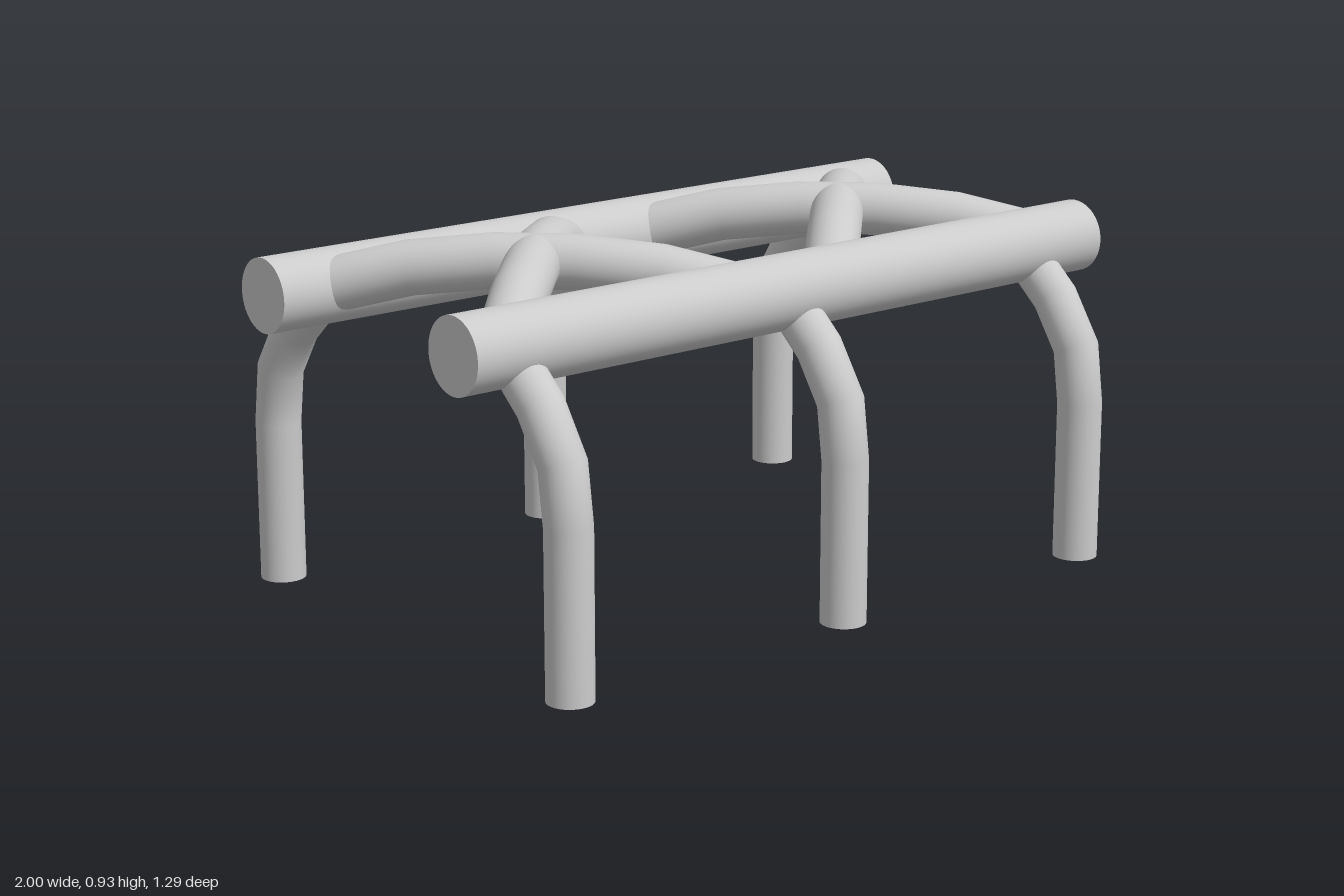
import * as THREE from 'three';

const SIDES = 32;
const material = new THREE.MeshStandardMaterial({ color: 0xcccccc });

// Round bar along a bent path [distance, height], lying in the upright plane through `heading`,
// with mitred bends and flat capped ends.
function bentBar(path, heading, radius) {
  const up = new THREE.Vector3(0, 1, 0);
  const across = heading.clone().cross(up).normalize();
  const points = path.map(([d, y]) => heading.clone().multiplyScalar(d).setY(y));
  const last = points.length - 1;
  const direction = i => points[i + 1].clone().sub(points[i]).normalize();
  const positions = [], index = [];

  const rings = points.map((p, i) => {
    const before = direction(Math.max(i - 1, 0));
    const after = direction(Math.min(i, last - 1));
    const tangent = before.clone().add(after).normalize();
    const outward = across.clone().cross(tangent);
    const stretch = 1 / tangent.dot(after);
    return Array.from({ length: SIDES }, (_, j) => {
      const a = (j / SIDES) * Math.PI * 2;
      return p.clone()
        .addScaledVector(outward, radius * stretch * Math.cos(a))
        .addScaledVector(across, radius * Math.sin(a));
    });
  });
  rings.flat().forEach(v => positions.push(v.x, v.y, v.z));
  for (let i = 0; i < last; i++) {
    for (let j = 0; j < SIDES; j++) {
      const k = (j + 1) % SIDES, a = i * SIDES, b = a + SIDES;
      index.push(a + j, a + k, b + k, a + j, b + k, b + j);
    }
  }

  // End caps use their own vertices so the rims stay sharp
  for (const end of [0, last]) {
    const centre = positions.length / 3;
    [points[end], ...rings[end]].forEach(v => positions.push(v.x, v.y, v.z));
    for (let j = 0; j < SIDES; j++) {
      const a = centre + 1 + j, b = centre + 1 + ((j + 1) % SIDES);
      if (end === 0) index.push(centre, b, a);
      else index.push(centre, a, b);
    }
  }

  const geometry = new THREE.BufferGeometry();
  geometry.setAttribute('position', new THREE.Float32BufferAttribute(positions, 3));
  geometry.setIndex(index);
  geometry.computeVertexNormals();
  return geometry;
}

export function createModel() {
  const model = new THREE.Group();
  const add = (name, geometry, x, y, z) => {
    const mesh = new THREE.Mesh(geometry, material);
    mesh.name = name;
    mesh.position.set(x, y, z);
    model.add(mesh);
  };

  // Two long rails
  const rail = new THREE.CylinderGeometry(0.093, 0.093, 2, 48).rotateZ(Math.PI / 2);
  add('frontRail', rail, 0, 0.788, 0.385);
  add('backRail', rail, 0, 0.788, -0.385);

  // Three pairs of legs, straight below and curving inwards to the rails
  const legPath = [[0.588, 0], [0.588, 0.408], [0.569, 0.55], [0.492, 0.667], [0.39, 0.757]];
  for (const side of [1, -1]) {
    const leg = bentBar(legPath, new THREE.Vector3(0, 0, side), 0.057);
    for (const x of [-0.84, 0, 0.82]) add(side > 0 ? 'frontLeg' : 'backLeg', leg, x, 0, 0);
  }

  // Two crossed pairs of arched braces between the rails
  const halfArch = [[0.07, 0.863], [0.215, 0.842], [0.325, 0.805], [0.405, 0.773]];
  const arch = [...halfArch.map(([d, y]) => [-d, y]).reverse(), ...halfArch];
  for (const slant of [1, -1]) {
    const brace = bentBar(arch, new THREE.Vector3(slant, 0, 1), 0.068);
    for (const x of [-0.475, 0.515]) add('crossBrace', brace, x, 0, 0);
  }

  return model;
}
